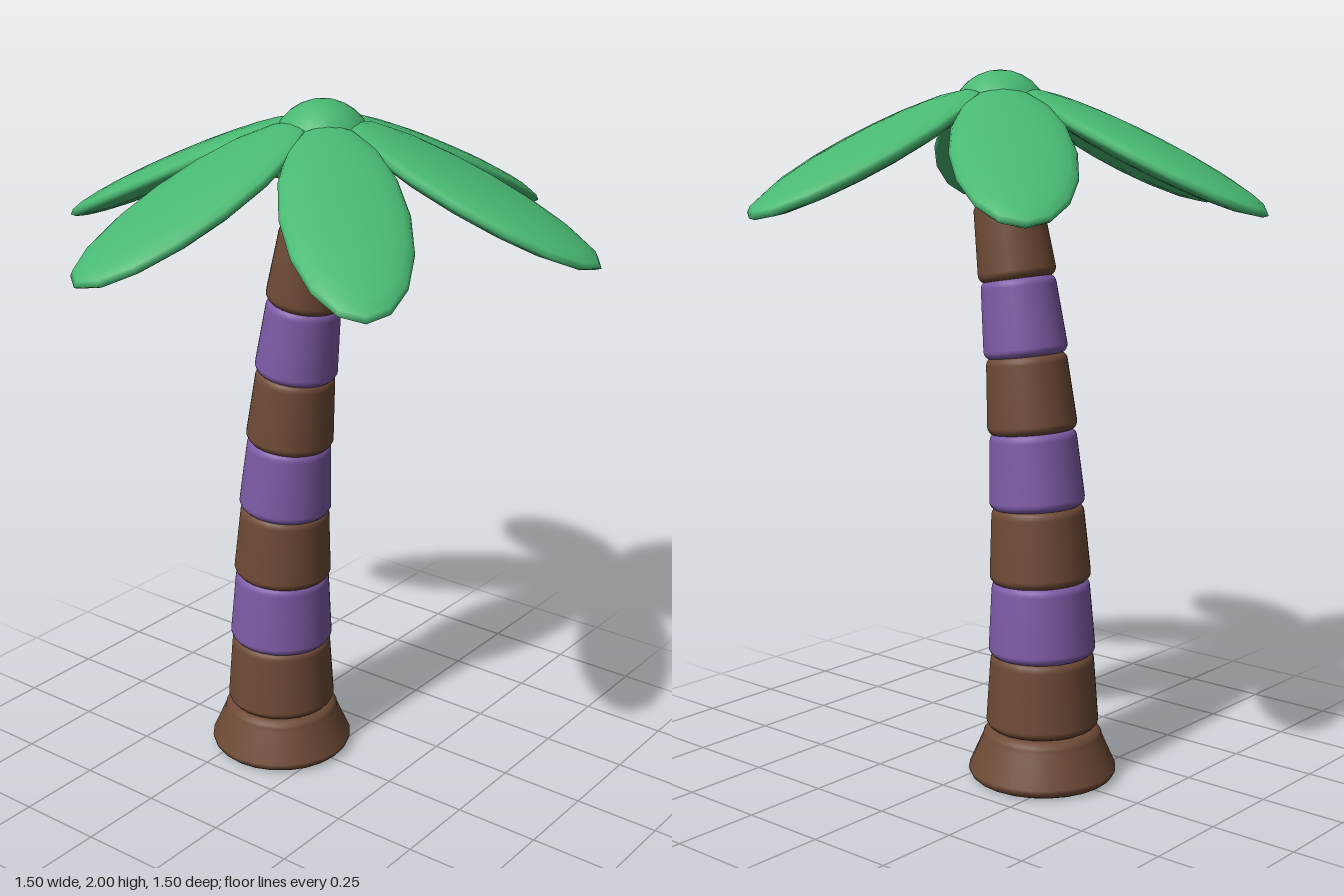
import * as THREE from 'three';

export function createModel() {
  const tree = new THREE.Group();
  tree.name = 'palmTree';

  const material = (name, color) => {
    const m = new THREE.MeshStandardMaterial({ color });
    m.name = name;
    return m;
  };
  const brown = material('barkBrown', 0x6e4a36);
  const purple = material('bandPurple', 0x7d5ba6);
  const green = material('leafGreen', 0x48b872);

  const add = (parent, name, geometry, mat) => {
    const mesh = new THREE.Mesh(geometry, mat);
    mesh.name = name;
    parent.add(mesh);
    return mesh;
  };

  // Tapered drum with rounded rims, standing on its own y = 0
  const drum = (rBottom, rTop, height, round) => {
    const points = [new THREE.Vector2(0, 0)];
    const steps = 5;
    for (let i = 0; i <= steps; i++) {
      const a = (i / steps) * Math.PI / 2;
      points.push(new THREE.Vector2(rBottom - round * (1 - Math.sin(a)), round * (1 - Math.cos(a))));
    }
    for (let i = 0; i <= steps; i++) {
      const a = (i / steps) * Math.PI / 2;
      points.push(new THREE.Vector2(rTop - round * (1 - Math.cos(a)), height - round * (1 - Math.sin(a))));
    }
    points.push(new THREE.Vector2(0, height));
    return new THREE.LatheGeometry(points, 24);
  };

  // Flared foot
  add(tree, 'trunkBase', drum(0.212, 0.172, 0.15, 0.03), brown).position.x = -0.16;

  // Leaning trunk: stacked drums follow a curve towards the crown
  const spine = (y) => new THREE.Vector3(-0.16 + 0.155 * Math.pow((y - 0.15) / 1.6, 2.2), y, 0);
  const up = new THREE.Vector3(0, 1, 0);
  for (let i = 0; i < 8; i++) {
    const start = spine(0.15 + i * 0.2125);
    const axis = spine(0.15 + (i + 1) * 0.2125).sub(start);
    const geometry = drum(0.161 - 0.0085 * i, 0.149 - 0.0085 * i, axis.length() + 0.008, 0.025);
    const segment = add(tree, `trunkSegment${i + 1}`, geometry, i % 2 ? purple : brown);
    segment.position.copy(start);
    segment.quaternion.setFromUnitVectors(up, axis.normalize());
  }

  // Crown ball
  add(tree, 'crownBall', new THREE.SphereGeometry(0.14, 20, 14), green).position.y = 1.86;

  // Six drooping leaves, flattened ellipsoids
  const leafGeometry = new THREE.SphereGeometry(1, 16, 12).scale(0.386, 0.042, 0.165);
  for (let i = 0; i < 6; i++) {
    const pivot = new THREE.Group();
    pivot.name = `leafPivot${i + 1}`;
    pivot.rotation.y = THREE.MathUtils.degToRad(15 + 60 * i);
    const leaf = add(pivot, `leaf${i + 1}`, leafGeometry, green);
    leaf.position.set(0.425, 1.782, 0);
    leaf.rotation.z = THREE.MathUtils.degToRad(-25);
    tree.add(pivot);
  }
  return tree;
}
